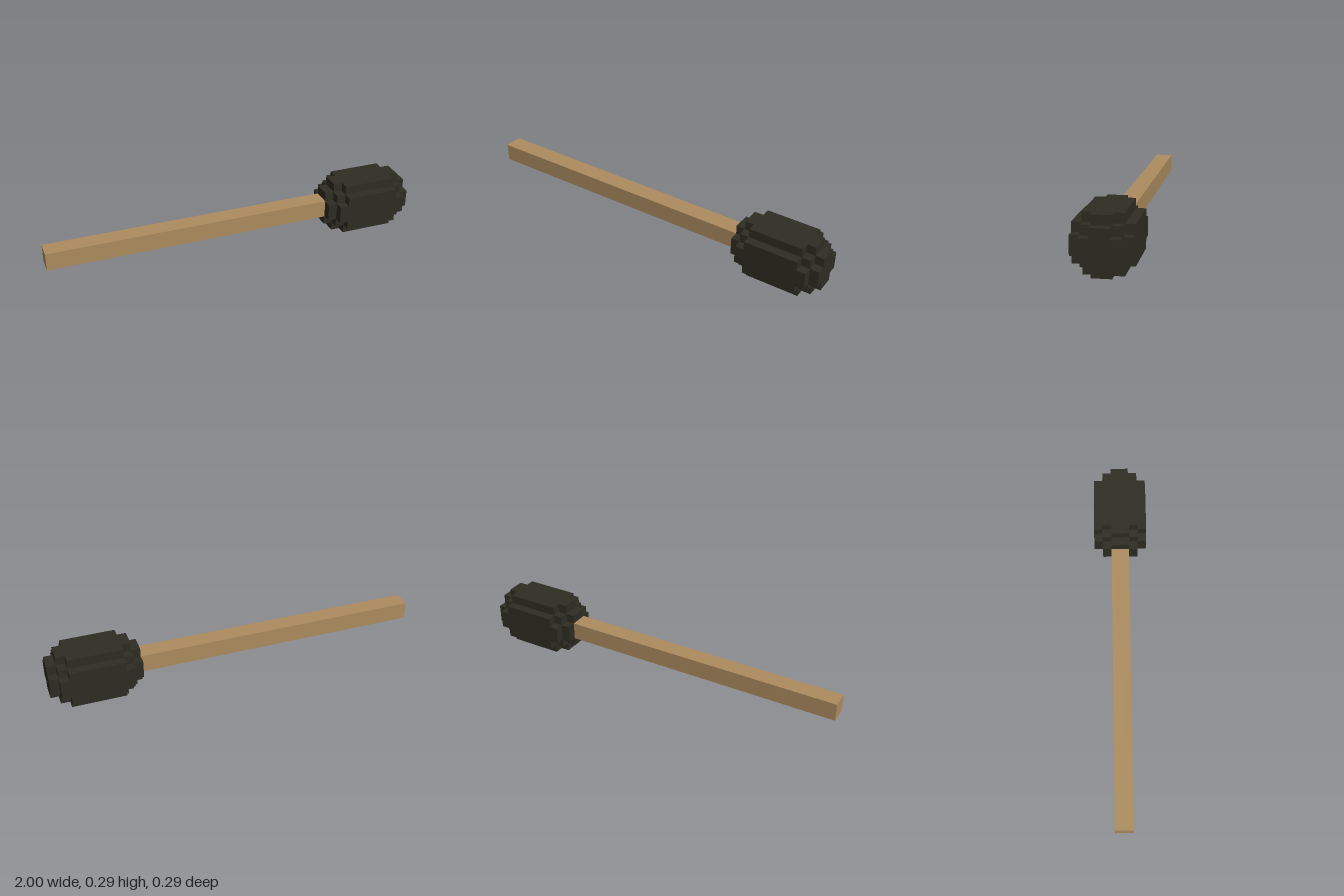
import * as THREE from 'three';

const U = 2 / 42; // one block

export function createModel() {
  const model = new THREE.Group();
  const wood = new THREE.MeshStandardMaterial({ color: 0xad8c5f });
  wood.name = 'wood';
  const charcoal = new THREE.MeshStandardMaterial({ color: 0x2e2d23 });
  charcoal.name = 'charcoal';

  // Square handle, 32 blocks long
  const handle = new THREE.Mesh(new THREE.BoxGeometry(32 * U, 2 * U, 2 * U), wood);
  handle.name = 'handle';
  handle.position.set(-5 * U, 3 * U, 0);
  model.add(handle);

  // Stepped outline from one quadrant's corners (in blocks), mirrored to all four
  const outline = (quadrant) => {
    const back = [...quadrant].reverse();
    return new THREE.Shape([
      ...quadrant.map(([a, b]) => [a, b]),
      ...back.map(([a, b]) => [-a, b]),
      ...quadrant.map(([a, b]) => [-a, -b]),
      ...back.map(([a, b]) => [a, -b]),
    ].map(([a, b]) => new THREE.Vector2(a * U, b * U)));
  };
  const endCross = outline([[2, 1], [1, 1], [1, 2]]);
  const shoulder = outline([[3, 1], [2, 1], [2, 2], [1, 2], [1, 3]]);
  const barrel = outline([[3, 2], [2, 2], [2, 3]]);

  // Rounded blocky head, stacked in slices along x
  const head = new THREE.Group();
  head.name = 'head';
  head.position.set(16 * U, 3 * U, 0);
  const slices = [
    ['innerEnd', endCross, -5, 1],
    ['innerShoulder', shoulder, -4, 1],
    ['barrel', barrel, -3, 6],
    ['outerShoulder', shoulder, 3, 1],
    ['outerEnd', endCross, 4, 1],
  ];
  for (const [name, shape, start, length] of slices) {
    const geometry = new THREE.ExtrudeGeometry(shape, { depth: length * U, bevelEnabled: false });
    geometry.rotateY(Math.PI / 2);
    const slice = new THREE.Mesh(geometry, charcoal);
    slice.name = name;
    slice.position.x = start * U;
    head.add(slice);
  }
  model.add(head);
  return model;
}
